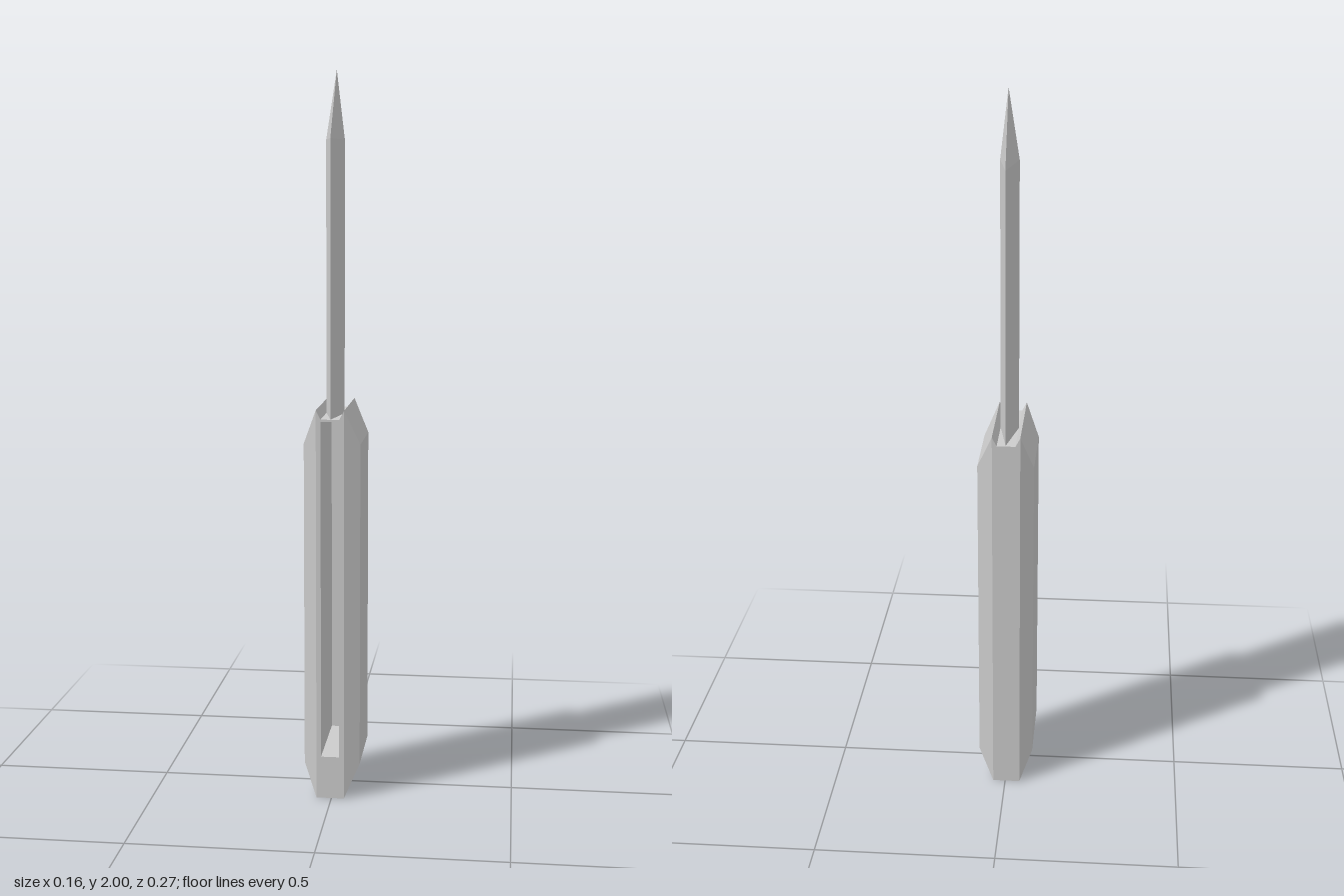
import * as THREE from 'three';
import { ConvexGeometry } from 'three/addons/geometries/ConvexGeometry.js';

const material = new THREE.MeshStandardMaterial({ color: 0xcccccc, flatShading: true });

function addMesh(group, name, geometry) {
  const mesh = new THREE.Mesh(geometry, material);
  mesh.name = name;
  group.add(mesh);
  return mesh;
}

// Box given by its limits on each axis
function addBlock(group, name, [x0, x1], [y0, y1], [z0, z1]) {
  const geometry = new THREE.BoxGeometry(x1 - x0, y1 - y0, z1 - z0);
  geometry.translate((x0 + x1) / 2, (y0 + y1) / 2, (z0 + z1) / 2);
  return addMesh(group, name, geometry);
}

// Handle half: upright rectangles at successive x, each [x, bottom, top, half depth]
function handleSide(rings) {
  const points = [];
  for (const [x, bottom, top, depth] of rings) {
    for (const y of [bottom, top]) {
      for (const z of [-depth, depth]) points.push(new THREE.Vector3(x, y, z));
    }
  }
  return new ConvexGeometry(points);
}

export function createModel() {
  const model = new THREE.Group();
  model.name = 'foldingKnife';

  const depth = 0.135;
  const slot = [-0.029, 0.022];
  const slotFloor = 0.12;
  const slotTop = 1.07;

  // Handle: two bevelled halves on either side of the slot
  const handle = new THREE.Group();
  handle.name = 'handle';
  model.add(handle);
  const sides = [
    ['handleLeft', slot[1], 0.035, 0.077],
    ['handleRight', slot[0], -0.042, -0.078],
  ];
  for (const [name, inner, shoulder, outer] of sides) {
    addMesh(handle, name, handleSide([
      [inner, 0, slotTop, depth],
      [shoulder, 0, 1.095, depth],
      [outer, 0.095, 1.0, 0.112],
    ]));
  }

  // Slot surround: floor, spine and the thin plate carrying the blade
  addBlock(handle, 'slotBase', slot, [0, slotFloor], [-depth, depth]);
  addBlock(handle, 'spine', slot, [slotFloor, slotTop], [-depth, -0.12]);
  addBlock(handle, 'bladePlate', slot, [slotTop - 0.006, slotTop], [-0.12, depth]);

  // Blade: diamond section running up to a four-sided point
  const bladePoints = [new THREE.Vector3(0, 2, 0.003)];
  for (const y of [slotTop - 0.003, 1.815]) {
    bladePoints.push(
      new THREE.Vector3(-0.029, y, 0.003), new THREE.Vector3(0.022, y, 0.003),
      new THREE.Vector3(-0.002, y, -0.13), new THREE.Vector3(-0.002, y, 0.133),
    );
  }
  addMesh(model, 'blade', new ConvexGeometry(bladePoints));

  return model;
}
